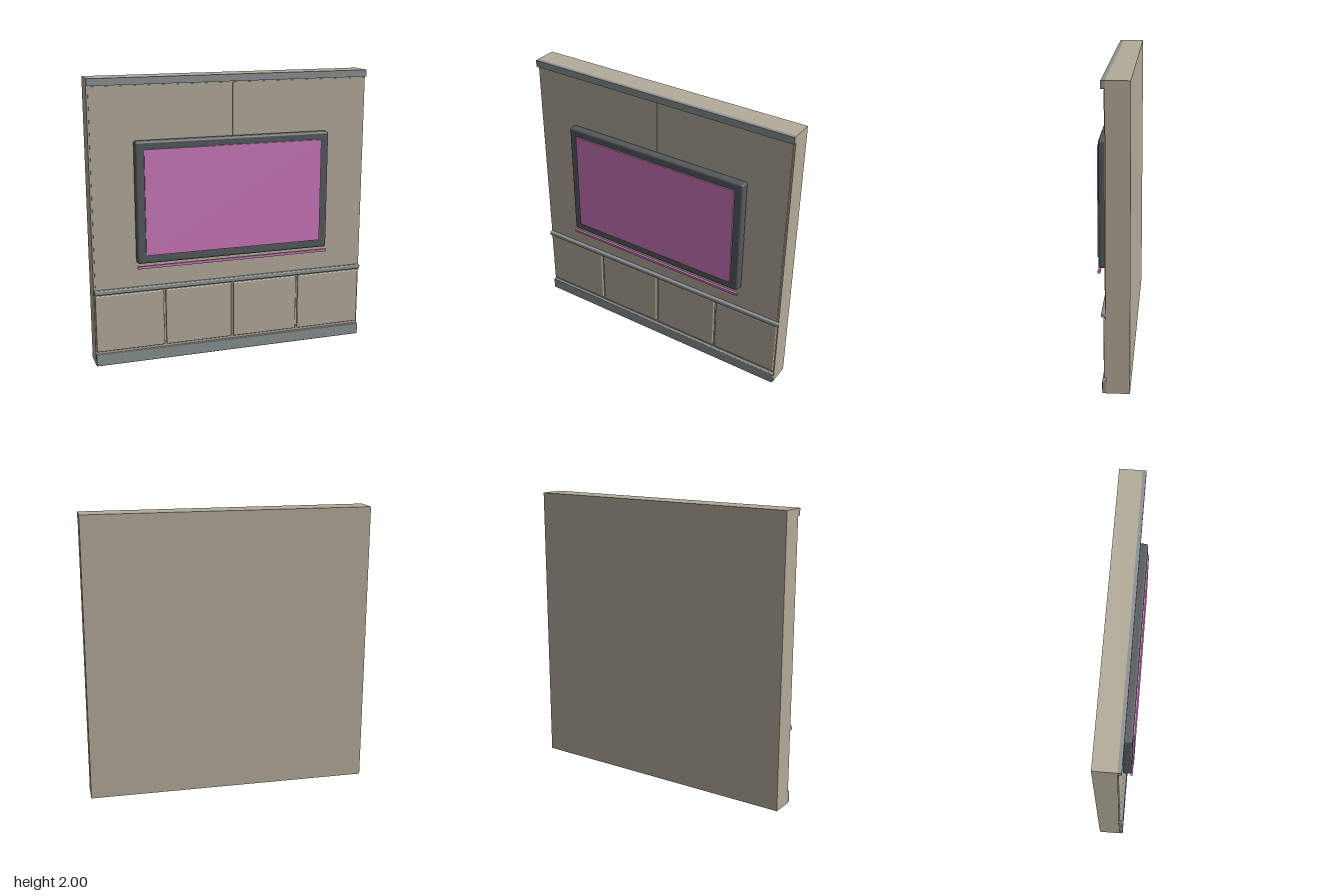
import * as THREE from 'three';
import { RoundedBoxGeometry } from 'three/addons/geometries/RoundedBoxGeometry.js';

export function createModel() {
  const model = new THREE.Group();
  model.name = 'mediaWall';

  const material = (name, color) => {
    const m = new THREE.MeshStandardMaterial({ color });
    m.name = name;
    return m;
  };
  const taupe = material('taupe', 0xb3ab99);
  const grey = material('trimGrey', 0x8a9092);
  const charcoal = material('charcoal', 0x54595c);
  const pink = material('pinkGlow', 0xca78ba);

  // Box given by its limits on each axis, with optional rounded edges
  function block(name, mat, [x0, x1], [y0, y1], [z0, z1], radius = 0) {
    const size = [x1 - x0, y1 - y0, z1 - z0];
    const geometry = radius
      ? new RoundedBoxGeometry(...size, 2, radius)
      : new THREE.BoxGeometry(...size);
    const mesh = new THREE.Mesh(geometry, mat);
    mesh.name = name;
    mesh.position.set((x0 + x1) / 2, (y0 + y1) / 2, (z0 + z1) / 2);
    model.add(mesh);
    return mesh;
  }

  // Wall slab
  block('wall', taupe, [-1, 1], [0, 2], [-0.115, 0.037]);

  // Two slightly raised upper panels with a narrow seam between them
  for (const side of [-1, 1]) {
    const inner = side * 0.004, outer = side * 0.988;
    block('upperPanel', taupe, [Math.min(inner, outer), Math.max(inner, outer)],
      [0.57, 1.945], [0.03, 0.043]);
  }

  // Four low cabinet doors
  for (let i = 0; i < 4; i++) {
    const cx = -0.75 + i * 0.5;
    block('cabinetDoor', taupe, [cx - 0.243, cx + 0.243], [0.1, 0.51], [0.03, 0.052], 0.008);
  }

  // Horizontal trim: skirting, ledge and cornice
  block('skirting', grey, [-1, 1], [0, 0.083], [0.036, 0.062], 0.006);
  block('ledge', grey, [-1, 1], [0.52, 0.552], [0.036, 0.066], 0.008);
  block('cornice', grey, [-1, 1], [1.952, 2], [0.036, 0.062]);

  // Television: frame and screen
  block('televisionFrame', charcoal, [-0.7, 0.7], [0.73, 1.58], [0.04, 0.105], 0.016);
  block('screen', pink, [-0.64, 0.64], [0.79, 1.525], [0.1, 0.115]);

  // Light strip below the television
  block('lightStrip', pink, [-0.7, 0.7], [0.697, 0.715], [0.094, 0.111]);

  return model;
}
